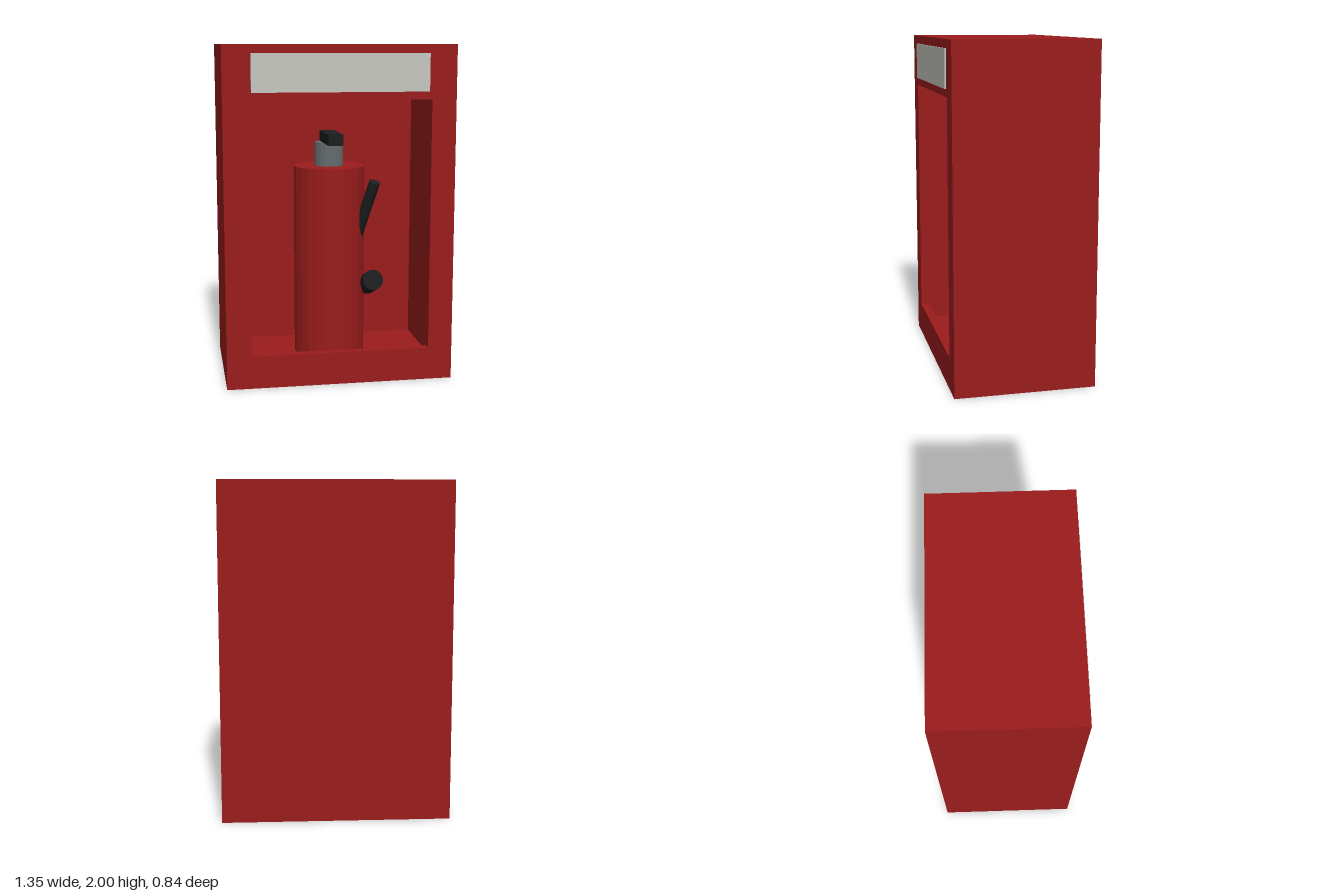
import * as THREE from 'three';

const mat = (color) => new THREE.MeshStandardMaterial({ color, flatShading: true });

export function createModel() {
  const model = new THREE.Group();
  const red = mat(0x9b1c1c), black = mat(0x1c1d1e), steel = mat(0x666c70), cream = mat(0xc8c8c0);
  const W = 0.677, H = 2, BACK = -0.42, FRONT = 0.413, WALL = 0.08, RIM = 0.05;

  const add = (parent, name, geometry, material, x = 0, y = 0, z = 0) => {
    const mesh = new THREE.Mesh(geometry, material);
    mesh.name = name;
    mesh.position.set(x, y, z);
    parent.add(mesh);
    return mesh;
  };

  // Rectangular ring in the cabinet's outline, from z0 to z1
  const ring = (hx, y0, y1, z0, z1) => {
    const outline = new THREE.Shape([[-W, 0], [W, 0], [W, H], [-W, H]].map((p) => new THREE.Vector2(...p)));
    outline.holes.push(new THREE.Path([[-hx, y0], [-hx, y1], [hx, y1], [hx, y0]].map((p) => new THREE.Vector2(...p))));
    return new THREE.ExtrudeGeometry(outline, { depth: z1 - z0, bevelEnabled: false }).translate(0, 0, z0);
  };

  // Cylinder between two points
  const rod = (parent, name, from, to, radius, sides, material) => {
    const a = new THREE.Vector3(...from), b = new THREE.Vector3(...to);
    const dir = b.clone().sub(a);
    const mesh = add(parent, name, new THREE.CylinderGeometry(radius, radius, dir.length(), sides), material);
    mesh.position.copy(a).add(b).multiplyScalar(0.5);
    mesh.quaternion.setFromUnitVectors(new THREE.Vector3(0, 1, 0), dir.normalize());
    return mesh;
  };

  // Open cabinet: back panel, four walls and a narrower front frame
  const cabinet = new THREE.Group();
  cabinet.name = 'cabinet';
  add(cabinet, 'backPanel', new THREE.BoxGeometry(2 * W, H, WALL), red, 0, H / 2, BACK + WALL / 2);
  add(cabinet, 'walls', ring(W - WALL, WALL, H - WALL, BACK + WALL, FRONT - RIM), red);
  add(cabinet, 'frontFrame', ring(0.532, 0.195, 1.685, FRONT - RIM, FRONT), red);
  add(cabinet, 'signPlate', new THREE.BoxGeometry(1.03, 0.22, 0.02), cream, 0, 1.84, 0.411);
  model.add(cabinet);

  // Extinguisher standing on the cabinet floor
  const extinguisher = new THREE.Group();
  extinguisher.name = 'extinguisher';
  const Z = -0.035;
  rod(extinguisher, 'tank', [0, WALL, Z], [0, 1.26, Z], 0.22, 24, red);
  rod(extinguisher, 'neck', [0, 1.26, Z], [0, 1.405, Z], 0.09, 16, steel);
  add(extinguisher, 'handle', new THREE.BoxGeometry(0.09, 0.065, 0.35), black, 0, 1.4375, 0.045);

  // Hose leaning out of the tank, and the nozzle pointing forward
  rod(extinguisher, 'hose', [0.25, 1.175, 0.16], [0.144, 0.75, 0.024], 0.034, 16, black);
  rod(extinguisher, 'nozzle', [0.24, 0.57, 0.18], [0.24, 0.5, 0], 0.063, 20, black);
  model.add(extinguisher);

  return model;
}
